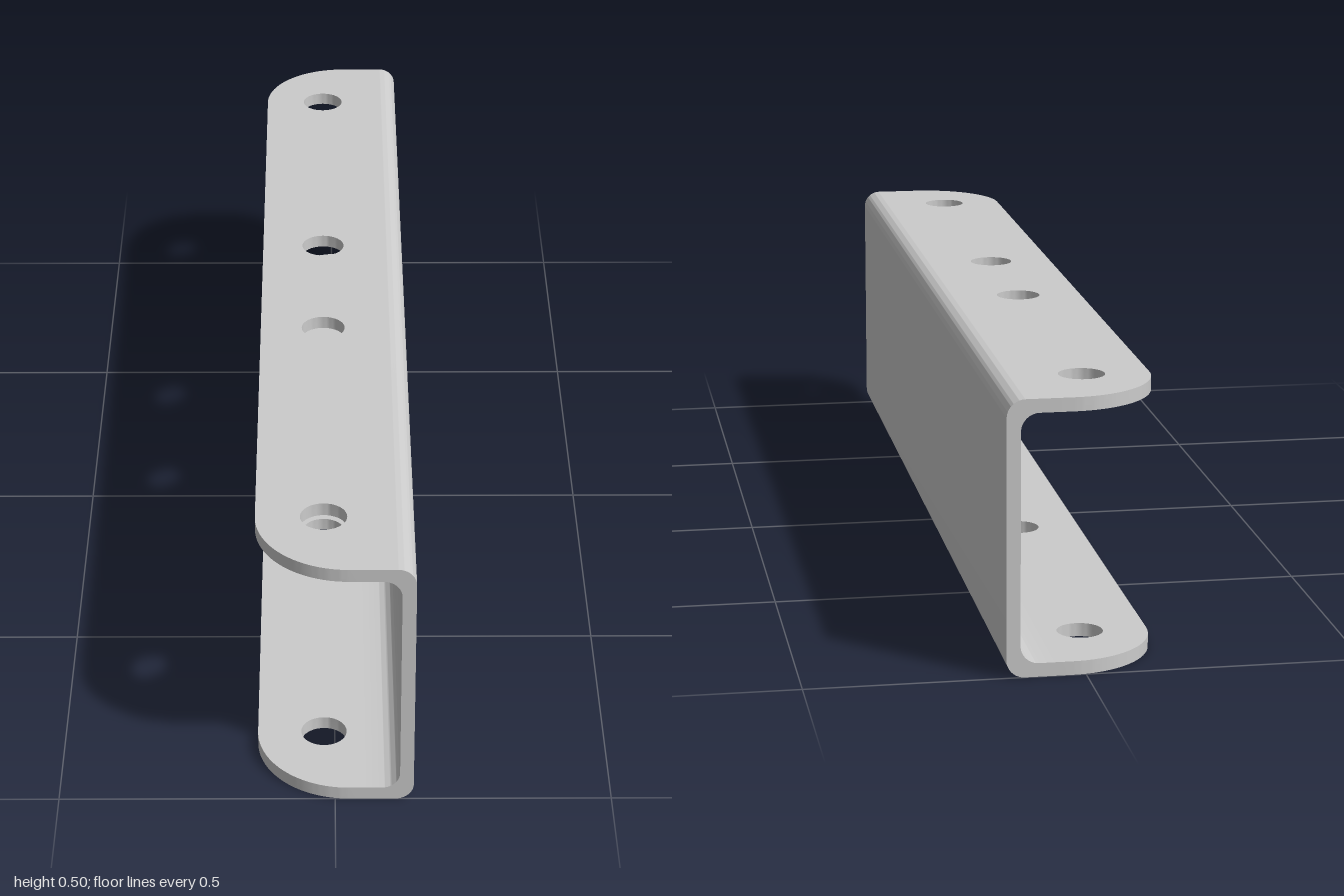
import * as THREE from 'three';
import { toCreasedNormals } from 'three/addons/utils/BufferGeometryUtils.js';

const X = 0.142, H = 0.502, T = 0.025, HALF = 1; // half width, height, sheet thickness, half length
const BEND = 0.033;   // bend radius
const ROUND = 0.167;  // flange corner radius
const SEAM = 0.05;    // x where the flanges join the bent web

const material = new THREE.MeshStandardMaterial({ color: 0xcccccc });

// Extrude a shape, dropping the hidden faces lying on the seam plane
function extrude(shape, depth) {
  const geo = new THREE.ExtrudeGeometry(shape, { depth, bevelEnabled: false, curveSegments: 20 });
  const p = geo.attributes.position;
  const kept = [];
  for (let i = 0; i < p.count; i += 3) {
    const onSeam = [0, 1, 2].every((k) => Math.abs(p.getX(i + k) - SEAM) < 1e-5);
    if (!onSeam) for (let k = 0; k < 3; k++) kept.push(p.getX(i + k), p.getY(i + k), p.getZ(i + k));
  }
  const out = new THREE.BufferGeometry();
  out.setAttribute('position', new THREE.Float32BufferAttribute(kept, 3));
  return toCreasedNormals(out, Math.PI / 6);
}

// Upright web with both bends: a C profile run along z
function webGeometry() {
  const s = new THREE.Shape();
  const xi = X - T;
  s.moveTo(SEAM, 0);
  s.lineTo(X - BEND, 0);
  s.absarc(X - BEND, BEND, BEND, -Math.PI / 2, 0, false);
  s.lineTo(X, H - BEND);
  s.absarc(X - BEND, H - BEND, BEND, 0, Math.PI / 2, false);
  s.lineTo(SEAM, H);
  s.lineTo(SEAM, H - T);
  s.lineTo(xi - BEND, H - T);
  s.absarc(xi - BEND, H - T - BEND, BEND, Math.PI / 2, 0, true);
  s.lineTo(xi, T + BEND);
  s.absarc(xi - BEND, T + BEND, BEND, 0, -Math.PI / 2, true);
  s.lineTo(SEAM, T);
  s.closePath();
  return extrude(s, 2 * HALF).translate(0, 0, -HALF);
}

// Flat flange with rounded free corners and four holes
function flangeGeometry() {
  const s = new THREE.Shape();
  s.moveTo(SEAM, -HALF);
  s.lineTo(SEAM, HALF);
  s.lineTo(-X + ROUND, HALF);
  s.absarc(-X + ROUND, HALF - ROUND, ROUND, Math.PI / 2, Math.PI, false);
  s.lineTo(-X, -HALF + ROUND);
  s.absarc(-X + ROUND, -HALF + ROUND, ROUND, Math.PI, Math.PI * 1.5, false);
  s.closePath();
  for (const z of [-0.833, -0.167, 0.167, 0.833]) {
    const hole = new THREE.Path();
    hole.absarc(-0.02, z, 0.042, 0, Math.PI * 2, true);
    s.holes.push(hole);
  }
  return extrude(s, T).rotateX(Math.PI / 2);
}

export function createModel() {
  const group = new THREE.Group();
  group.name = 'channelBracket';

  const web = new THREE.Mesh(webGeometry(), material);
  web.name = 'web';
  group.add(web);

  const flange = flangeGeometry();
  for (const [name, y] of [['topFlange', H], ['bottomFlange', T]]) {
    const mesh = new THREE.Mesh(flange, material);
    mesh.name = name;
    mesh.position.y = y;
    group.add(mesh);
  }
  return group;
}
